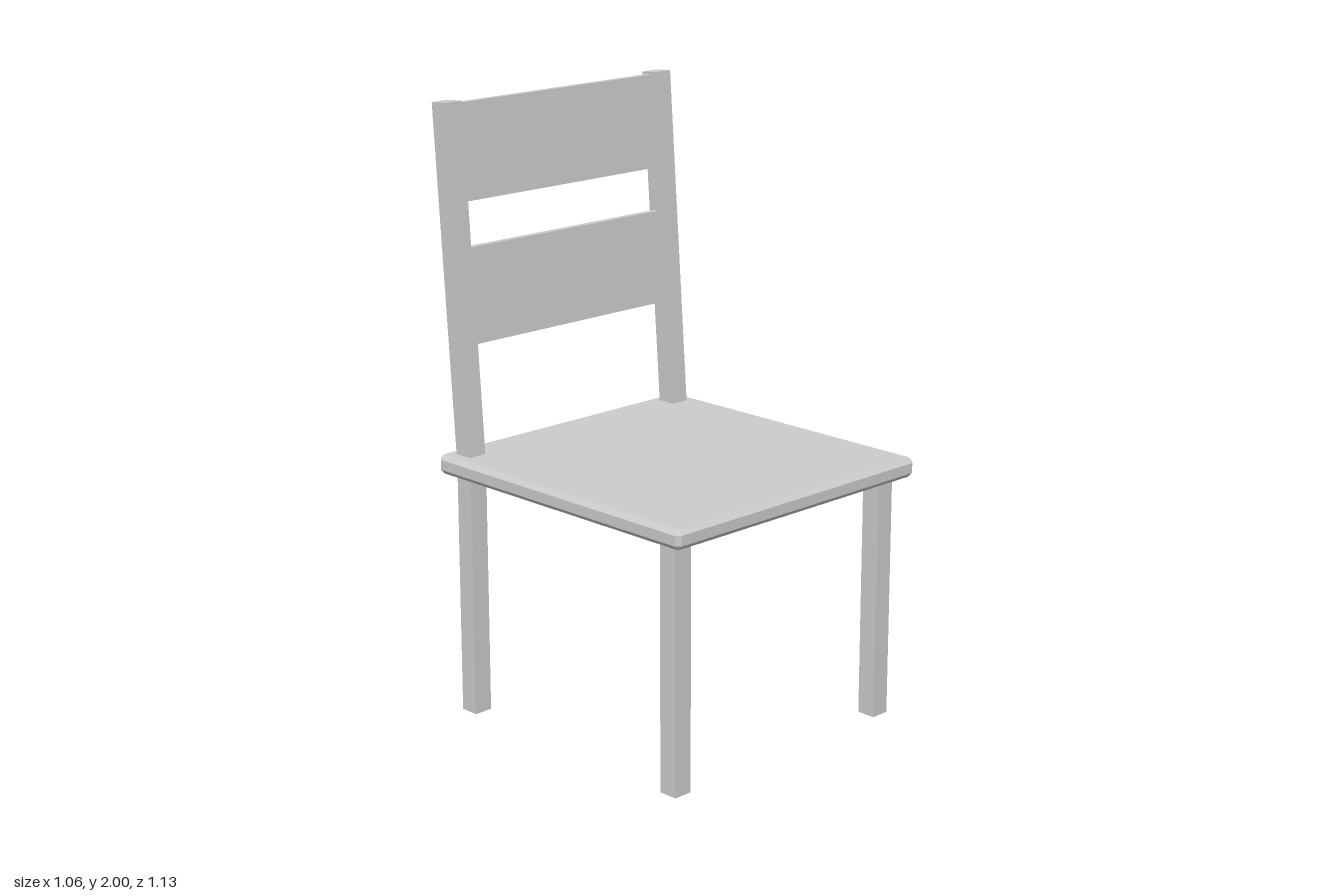
import * as THREE from 'three';
import { ConvexGeometry } from 'three/addons/geometries/ConvexGeometry.js';

const material = new THREE.MeshStandardMaterial({ color: 0xcccccc, flatShading: true });

function addBox(parent, name, [w, h, d], [x, y, z]) {
  const mesh = new THREE.Mesh(new THREE.BoxGeometry(w, h, d), material);
  mesh.name = name;
  mesh.position.set(x, y, z);
  parent.add(mesh);
}

// Box with every edge and corner cut by c
function chamferedBox(w, h, d, c) {
  const points = [];
  for (const sx of [-1, 1]) for (const sy of [-1, 1]) for (const sz of [-1, 1]) {
    for (let axis = 0; axis < 3; axis++) {
      const p = [w / 2 - c, h / 2 - c, d / 2 - c];
      p[axis] += c;
      points.push(new THREE.Vector3(sx * p[0], sy * p[1], sz * p[2]));
    }
  }
  return new ConvexGeometry(points);
}

export function createModel() {
  const chair = new THREE.Group();
  chair.name = 'chair';
  const bar = 0.065, barX = 0.453, seatY = 0.842, backZ = -0.4525;

  // Seat
  const seat = new THREE.Mesh(chamferedBox(1.062, 0.065, 1.093, 0.016), material);
  seat.name = 'seat';
  seat.position.set(0, seatY, 0.0185);
  chair.add(seat);

  // Backrest, leaning backwards about its foot in the seat
  const backrest = new THREE.Group();
  backrest.name = 'backrest';
  backrest.position.set(0, seatY, backZ);
  backrest.rotation.x = -0.0713;
  chair.add(backrest);

  // Legs and back posts, mirrored
  for (const [side, s] of [['left', 1], ['right', -1]]) {
    addBox(chair, `${side}FrontLeg`, [bar, 0.815, bar], [s * barX, 0.4075, 0.475]);
    addBox(chair, `${side}BackLeg`, [bar, 0.815, bar], [s * barX, 0.4075, backZ]);
    addBox(backrest, `${side}BackPost`, [bar, 1.158, bar], [s * barX, 0.579, 0]);
  }

  // Back slats
  addBox(backrest, 'upperSlat', [0.85, 0.31, 0.03], [0, 0.995, 0]);
  addBox(backrest, 'lowerSlat', [0.85, 0.31, 0.03], [0, 0.539, 0]);

  return chair;
}
